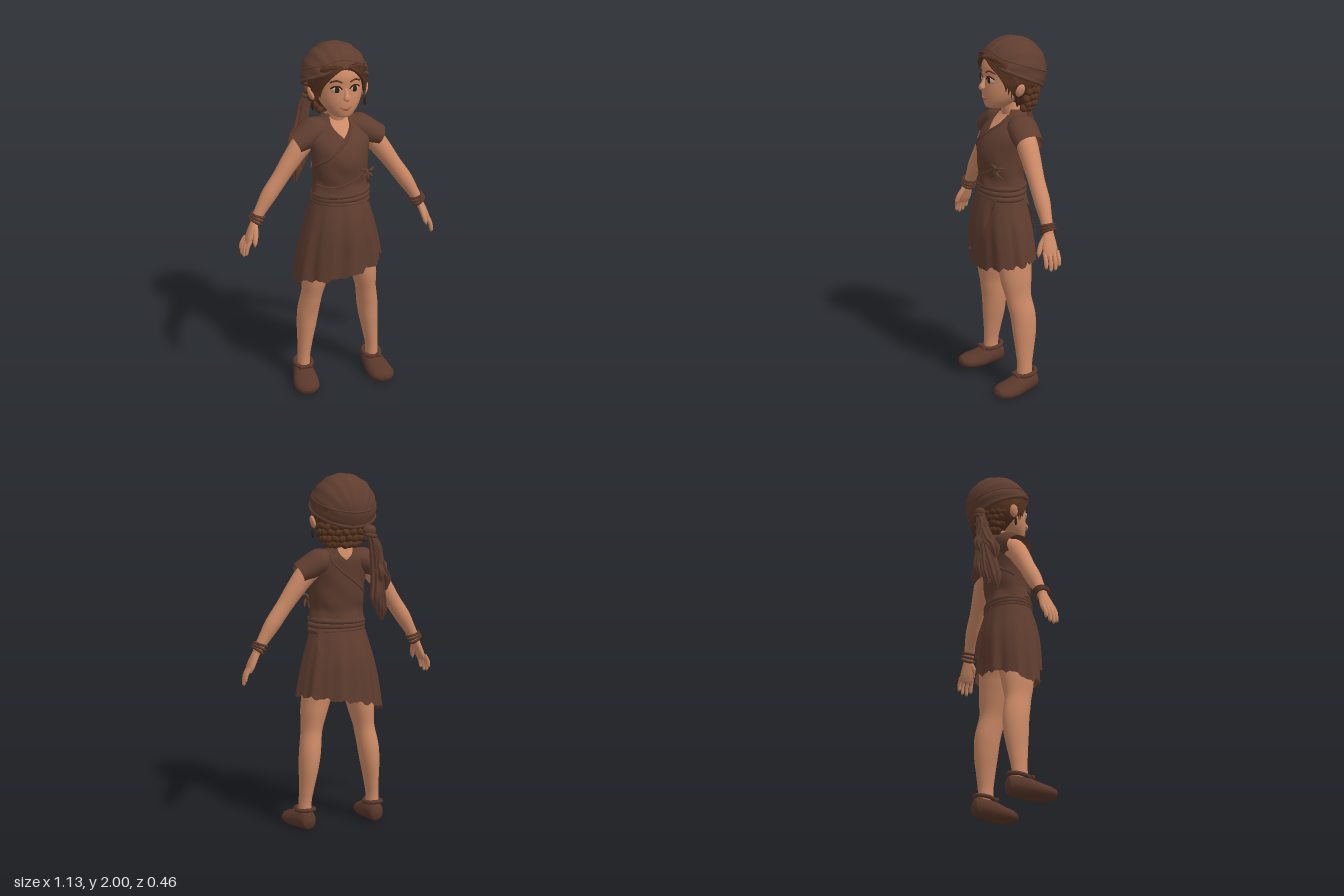
import * as THREE from 'three';

const mat = (name, color, side = THREE.DoubleSide) => {
  const m = new THREE.MeshStandardMaterial({ color, side });
  m.name = name;
  return m;
};

export function createModel() {
  const root = new THREE.Group();
  root.name = 'girlInTunic';
  const skin = mat('skin', 0xcd8a66), cloth = mat('brownCloth', 0x5f3d2f);
  const hair = mat('hair', 0x55321f), leather = mat('leather', 0x5a382b);
  const eyeWhite = mat('eyeWhite', 0xc9a58c), dark = mat('darkBrown', 0x341d14);
  const lip = mat('lips', 0xb0654d);

  const add = (name, geo, material, pos, scale) => {
    const m = new THREE.Mesh(geo, material);
    m.name = name;
    if (pos) m.position.set(...pos);
    if (scale) m.scale.set(...scale);
    root.add(m);
    return m;
  };
  const ball = (name, material, pos, scale, n = 20) => add(name, new THREE.SphereGeometry(1, n, Math.ceil(n * 0.7)), material, pos, scale);

  // Surface from a grid of points, optionally closed around
  const grid = (rows, cols, closed, fn) => {
    const pos = [], idx = [], w = closed ? cols : cols + 1;
    for (let i = 0; i <= rows; i++) for (let j = 0; j < w; j++) pos.push(...fn(i / rows, j / cols));
    for (let i = 0; i < rows; i++) for (let j = 0; j < cols; j++) {
      const a = i * w + j, b = i * w + (j + 1) % w;
      idx.push(a, b, b + w, a, b + w, a + w);
    }
    const g = new THREE.BufferGeometry();
    g.setAttribute('position', new THREE.Float32BufferAttribute(pos, 3));
    g.setIndex(idx);
    g.computeVertexNormals();
    return g;
  };
  // Smooth lookup through rows of [key, ...values]
  const table = rows => {
    const it = new THREE.CubicInterpolant(rows.map(r => r[0]), rows.flatMap(r => r.slice(1)), rows[0].length - 1);
    const lo = rows[0][0], hi = rows[rows.length - 1][0];
    return k => [...it.evaluate(THREE.MathUtils.clamp(k, lo, hi))];
  };
  // Body shell: profile rows [y, cz, rx, rz]; angle 0 is the front, PI/2 is +x
  const onBody = (prof, a, y, off = 0) => {
    const [cz, rx, rz] = prof(y);
    return [Math.sin(a) * (rx + off), y, cz + Math.cos(a) * (rz + off)];
  };
  const shell = (prof, bot, top, { a0 = -Math.PI, a1 = Math.PI, off = () => 0, rows = 28, cols = 96 } = {}) =>
    grid(rows, cols, a1 - a0 > 6.28, (t, s) => {
      const a = a0 + (a1 - a0) * s;
      return onBody(prof, a, bot(a) + (top(a) - bot(a)) * t, off(a, t));
    });
  // Tapered limb: points [x, y, z, radius, radius across]
  const limb = (pts, n = 16, rows = pts.length * 5, floor = -1, ripple = 0) => {
    const path = new THREE.CatmullRomCurve3(pts.map(p => new THREE.Vector3(p[0], p[1], p[2])));
    const rad = new THREE.CatmullRomCurve3(pts.map(p => new THREE.Vector3(p[3], p[4] ?? p[3], 0)));
    return grid(rows, n, true, (t, s) => {
      const c = path.getPoint(t), r = rad.getPoint(t), d = path.getTangent(t);
      const u = Math.abs(d.z) > 0.8 ? new THREE.Vector3(1, 0, 0) : new THREE.Vector3(0, 0, 1);
      u.addScaledVector(d, -u.dot(d)).normalize();
      const v = new THREE.Vector3().crossVectors(d, u), a = s * Math.PI * 2, k = 1 + ripple * Math.sin(a * 6);
      c.addScaledVector(u, Math.cos(a) * Math.max(0, r.x) * k).addScaledVector(v, Math.sin(a) * Math.max(0, r.y) * k);
      return [c.x, Math.max(floor, c.y), c.z];
    });
  };
  const tube = (pts, r, n = 40, closed = false) =>
    new THREE.TubeGeometry(new THREE.CatmullRomCurve3(pts.map(p => new THREE.Vector3(...p)), closed), n, r, 8, closed);
  const ring = (name, material, pos, r, thick, scale, tilt = 0) => {
    const m = add(name, new THREE.TorusGeometry(r, thick, 8, 40), material, pos, scale);
    m.rotation.set(Math.PI / 2, tilt, 0);
    return m;
  };

  // Torso, neck and tunic top
  const torso = table([[1.15, 0.05, 0.155, 0.118], [1.22, 0.05, 0.15, 0.116], [1.3, 0.047, 0.155, 0.128], [1.4, 0.043, 0.16, 0.135],
    [1.48, 0.022, 0.17, 0.118], [1.54, -0.008, 0.148, 0.09], [1.58, -0.022, 0.1, 0.066], [1.61, -0.025, 0.07, 0.055]]);
  add('chest', shell(torso, () => 1.35, () => 1.6, { off: () => -0.008 }), skin);
  add('neck', limb([[0, 1.5, -0.02, 0.075, 0.08], [0, 1.57, -0.018, 0.057, 0.06], [0, 1.63, 0, 0.052], [0, 1.7, 0.01, 0.055]], 24), skin);
  const neckline = a => 1.61 - 0.11 * Math.max(0, 1 - Math.abs(a) / 0.75) - 0.08 * Math.max(0, 1 - (Math.PI - Math.abs(a)) / 0.7);
  add('tunicTop', shell(torso, a => 1.19 + 0.008 * Math.sin(a * 9), neckline, {
    off: (a, t) => 0.012 * Math.max(0, 1 - t * 7) + 0.003 * Math.sin(a * 4 + t * 15) * (1 - t) }), cloth);
  const seam = (a0, y0, a1, y1) => Array.from({ length: 10 }, (_, i) =>
    onBody(torso, a0 + (a1 - a0) * i / 9, y0 + (y1 - y0) * i / 9 - 0.03 * Math.sin(Math.PI * i / 9), 0.002));
  add('wrapSeam', tube(seam(0.6, 1.58, -1.4, 1.34), 0.007), cloth);
  add('lowerSeam', tube(seam(-1.2, 1.24, 0.75, 1.31), 0.005), cloth);
  add('backSeam', tube(seam(2.4, 1.56, 4.5, 1.32), 0.006), cloth);
  const knot = onBody(torso, 0.85, 1.3, 0.01);
  ball('tunicKnot', cloth, knot, [0.018, 0.018, 0.016]);
  for (const [dx, dy] of [[0.045, 0.02], [0.04, -0.045], [0.005, -0.06], [-0.035, -0.045], [-0.04, 0.025]])
    add('knotEnd', limb([[...knot, 0.006], [knot[0] + dx / 2, knot[1] + dy / 2 + 0.008, knot[2] + 0.012, 0.009], [knot[0] + dx, knot[1] + dy, knot[2] - dx * 0.5, 0.003]], 8), cloth);

  // Belt wraps
  [1.135, 1.16, 1.185].forEach((y, i) => ring('beltWrap', cloth, [0, y, 0.05], 0.152, 0.015, [1.01, 0.79, 1], (i - 1) * 0.04));

  // Skirt with an overlapping wrap
  const hip = table([[0.6, 0.035, 0.258, 0.165], [0.75, 0.04, 0.243, 0.163], [0.85, 0.043, 0.228, 0.163], [0.95, 0.046, 0.207, 0.16],
    [1.05, 0.05, 0.18, 0.143], [1.15, 0.05, 0.15, 0.115]]);
  const folds = base => (a, t) => base + 0.008 * (1 - t) * Math.sin(a * 9) + 0.004 * (1 - t) * Math.sin(a * 17 + 1);
  const rag = a => 0.008 * Math.sin(a * 15) + 0.005 * Math.sin(a * 29);
  add('skirt', shell(hip, a => 0.725 + 0.04 * Math.sin(a) - 0.015 * Math.cos(a) + rag(a), () => 1.15, { off: folds(-0.003) }), cloth);
  const wrapHem = table([[-4.2, 1.12], [-3.7, 0.95], [-3.2, 0.83], [-2.6, 0.74], [-2, 0.68], [-1.35, 0.645], [-0.9, 0.73], [-0.3, 0.81], [0.1, 0.86], [0.35, 0.94], [0.8, 1.12]]);
  add('skirtWrap', shell(hip, a => wrapHem(a)[0] + rag(a) * 0.8, () => 1.15, { a0: -4.2, a1: 0.8, off: folds(0.01) }), cloth);

  // Limbs, sleeves and shoes, one set per side
  for (const s of [1, -1]) {
    const side = s > 0 ? 'left' : 'right';
    const part = (name, pts, material, n, rows, floor) =>
      add(side + name, limb(pts.map(([x, ...r]) => [x * s, ...r]), n, rows, floor), material);
    part('Arm', [[0.13, 1.5, -0.01, 0.05], [0.2, 1.45, 0, 0.058], [0.26, 1.375, 0.005, 0.053], [0.33, 1.275, 0.01, 0.045], [0.39, 1.19, 0.012, 0.044],
      [0.44, 1.11, 0.016, 0.034], [0.475, 1.05, 0.02, 0.029, 0.026], [0.485, 1.03, 0.022, 0.028, 0.022]], skin, 20);
    part('Sleeve', [[0.07, 1.545, -0.015, 0.06, 0.045], [0.13, 1.52, -0.01, 0.085, 0.07], [0.19, 1.485, -0.002, 0.083, 0.066], [0.243, 1.458, 0.002, 0.077, 0.057]], cloth, 28);
    part('Palm', [[0.472, 1.06, 0.02, 0.02, 0.018], [0.492, 1.015, 0.025, 0.034, 0.021], [0.515, 0.96, 0.03, 0.043, 0.02], [0.53, 0.925, 0.03, 0.036, 0.015], [0.533, 0.918, 0.03, 0, 0]], skin);
    [0.065, 0.042, 0.018, -0.004].forEach((z, i) => {
      const l = [0.085, 0.1, 0.095, 0.075][i], x = [0.515, 0.525, 0.53, 0.53][i];
      part('Finger', [[x, 0.95, z, 0.011], [x + 0.022, 0.95 - l * 0.5, z + 0.002, 0.0115], [x + 0.028, 0.95 - l * 0.92, z + 0.003, 0.0095], [x + 0.027, 0.945 - l, z + 0.003, 0]], skin, 10);
    });
    part('Thumb', [[0.482, 1.025, 0.04, 0.014], [0.49, 0.98, 0.07, 0.015], [0.498, 0.94, 0.088, 0.012], [0.502, 0.915, 0.094, 0]], skin, 10);
    for (let i = 0; i < 3; i++) {
      const b = ring(side + 'Bracelet', leather, [s * (0.461 + i * 0.009), 1.076 - i * 0.016, 0.019], 0.036, 0.0075, [1, 1.05, 1]);
      b.rotation.set(Math.PI / 2, s * (0.5 + (i - 1) * 0.15), 0);
    }
    part('Leg', [[0.1, 0.95, 0.035, 0.1, 0.085], [0.12, 0.8, 0.035, 0.1, 0.085], [0.145, 0.67, 0.035, 0.092, 0.073], [0.163, 0.55, 0.026, 0.074, 0.058], [0.178, 0.45, 0.008, 0.074, 0.06],
      [0.188, 0.36, 0.004, 0.07, 0.055], [0.2, 0.24, 0.008, 0.054, 0.042], [0.208, 0.15, 0.012, 0.044, 0.036], [0.21, 0.06, 0.012, 0.045, 0.038]], skin, 24);
    part('Shoe', [[0.208, 0.055, -0.07, 0, 0], [0.208, 0.055, -0.056, 0.038, 0.045], [0.21, 0.057, -0.01, 0.055, 0.056], [0.215, 0.05, 0.04, 0.064, 0.056],
      [0.222, 0.036, 0.1, 0.073, 0.05], [0.23, 0.03, 0.16, 0.07, 0.04], [0.235, 0.03, 0.2, 0.042, 0.026], [0.236, 0.03, 0.213, 0, 0]], leather, 24, 48, 0.004);
    ring(side + 'ShoeCuff', leather, [s * 0.209, 0.11, 0.006], 0.05, 0.012, [0.98, 1.15, 1]).rotation.x = Math.PI / 2 + 0.15;
    for (const d of [-1, 1]) part('ShoeTie', [[0.215, 0.105, 0.066, 0.009], [0.215 + d * 0.02, 0.112, 0.075, 0.011], [0.215 + d * 0.04, 0.1, 0.074, 0.004]], leather, 8);

    // Ears, earrings, eyes and brows
    const ear = ball(side + 'Ear', skin, [s * 0.153, 1.735, 0.015], [0.014, 0.037, 0.025]);
    ear.rotation.set(-0.2, 0, -s * 0.3);
    ball(side + 'Earring', dark, [s * 0.147, 1.672, 0.03], [0.008, 0.026, 0.008], 10);
    ball(side + 'Eye', eyeWhite, [s * 0.05, 1.783, 0.137], [0.027, 0.019, 0.014]).rotation.y = s * 0.3;
    ball(side + 'Iris', dark, [s * 0.049, 1.783, 0.147], [0.014, 0.016, 0.006]).rotation.y = s * 0.25;
    add(side + 'Lashes', tube([[s * 0.021, 1.785, 0.148], [s * 0.038, 1.801, 0.15], [s * 0.06, 1.803, 0.145], [s * 0.08, 1.79, 0.131]], 0.004, 16), dark);
    add(side + 'Brow', tube([[s * 0.022, 1.822, 0.152], [s * 0.05, 1.834, 0.148], [s * 0.082, 1.823, 0.128]], 0.0045, 16), hair);

    // Fringe swept from the parting to the temple
    for (let i = 0; i < 5; i++) {
      const x = 0.015 + i * 0.012;
      part('Fringe', [[x, 1.905, 0.142, 0.012], [x + 0.05, 1.872 + i * 0.004, 0.138 - i * 0.009, 0.019, 0.012], [0.105 + i * 0.007, 1.82, 0.107 - i * 0.012, 0.017, 0.012],
        [0.123 + i * 0.006, 1.765, 0.085 - i * 0.014, 0.011], [0.122 + i * 0.005, 1.725 - (i % 3) * 0.02, 0.085 - i * 0.013, 0]], hair, 8);
    }
  }

  // Head and face
  const face = table([[1.616, 0.085, 0.004, 0.004], [1.622, 0.085, 0.036, 0.042], [1.645, 0.068, 0.07, 0.077], [1.68, 0.045, 0.1, 0.108], [1.73, 0.025, 0.122, 0.13],
    [1.79, 0.018, 0.13, 0.133], [1.85, 0.015, 0.127, 0.138], [1.91, 0.005, 0.105, 0.125]]);
  add('head', shell(face, () => 1.616, () => 1.91, { cols: 48 }), skin);
  add('nose', limb([[0, 1.79, 0.143, 0.008], [0, 1.76, 0.158, 0.012], [0, 1.737, 0.166, 0.017, 0.019], [0, 1.722, 0.158, 0.004]], 12), skin);
  add('mouth', tube([[-0.036, 1.69, 0.139], [-0.017, 1.68, 0.152], [0, 1.678, 0.156], [0.017, 1.68, 0.152], [0.036, 1.69, 0.139]], 0.0055, 24), lip);
  ball('lowerLip', lip, [0, 1.671, 0.147], [0.019, 0.007, 0.008]);

  // Hair cap and curls gathered at the nape
  ball('hairCap', hair, [0, 1.79, -0.02], [0.155, 0.15, 0.152], 32);
  ball('napeHair', hair, [0.005, 1.69, -0.065], [0.118, 0.075, 0.08]);
  let seed = 7;
  const rnd = () => (seed = (seed * 16807) % 2147483647) / 2147483647;
  for (let r = 0; r < 5; r++) for (let j = 0; j < 11; j++) {
    const a = 1.35 + (j + (r % 2) / 2) * 0.33, k = [0.95, 1.03, 1.02, 0.9, 0.68][r];
    const c = ball('curl', hair, [Math.sin(a) * 0.13 * k + 0.004, 1.745 - r * 0.033 + rnd() * 0.01, -0.052 + Math.cos(a) * 0.088 * k], [0.024, 0.019, 0.021], 10);
    c.rotation.z = j % 2 ? 0.6 : -0.6;
  }

  // Headscarf, pleated toward the knot at the back
  const scarfPoint = (t, s, puff = 0) => {
    const a = s * Math.PI * 2, edgeY = 1.795 + 0.08 * Math.cos(a) + 0.025 * Math.max(0, Math.cos(a)) ** 6;
    const p = Math.acos((edgeY - 1.815) / 0.185) * (1 - t);
    const x = Math.sin(p) * Math.sin(a), y = Math.cos(p), z = Math.sin(p) * Math.cos(a);
    const around = Math.atan2(x, y * 0.9 + 0.35 - z * 0.1);
    const k = 1 + puff + 0.011 * Math.sin(around * 20) * Math.min(1, Math.hypot(x, y + 0.35));
    return [-0.01 + 0.182 * k * x, 1.815 + 0.184 * k * y, -0.022 + 0.188 * k * z];
  };
  add('headscarf', grid(36, 112, true, (t, s) => scarfPoint(t, s)), cloth);
  add('scarfRim', tube(Array.from({ length: 48 }, (_, i) => scarfPoint(0, i / 48, -0.02)), 0.011, 120, true), cloth);
  add('scarfFold', tube(Array.from({ length: 48 }, (_, i) => scarfPoint(0.22, i / 48, -0.015)), 0.006, 120, true), cloth);

  // Scarf knot and hanging ends
  ball('scarfKnot', cloth, [-0.1, 1.695, -0.178], [0.038, 0.033, 0.032]);
  const knotBand = ring('scarfKnotBand', cloth, [-0.105, 1.67, -0.178], 0.03, 0.011, [1, 1, 1]);
  knotBand.rotation.y = 0.2;
  const ends = [[-0.13, 1.27, -0.19], [-0.165, 1.225, -0.16], [-0.2, 1.19, -0.125], [-0.215, 1.36, -0.14], [-0.15, 1.4, -0.2]];
  ends.forEach(([x, y, z], i) => add('scarfTail', limb([[-0.105, 1.69, -0.178, 0.018, 0.016], [-0.125 - i * 0.006, 1.6, -0.178, 0.026, 0.02],
    [x * 0.55 - 0.065, (y + 1.6) / 2, z * 0.5 - 0.085, 0.032, 0.022], [x, y + 0.07, z, 0.03, 0.024], [x - 0.005, y, z + 0.01, 0.006, 0.008]], 36, 24, -1, 0.22), cloth));

  return root;
}
